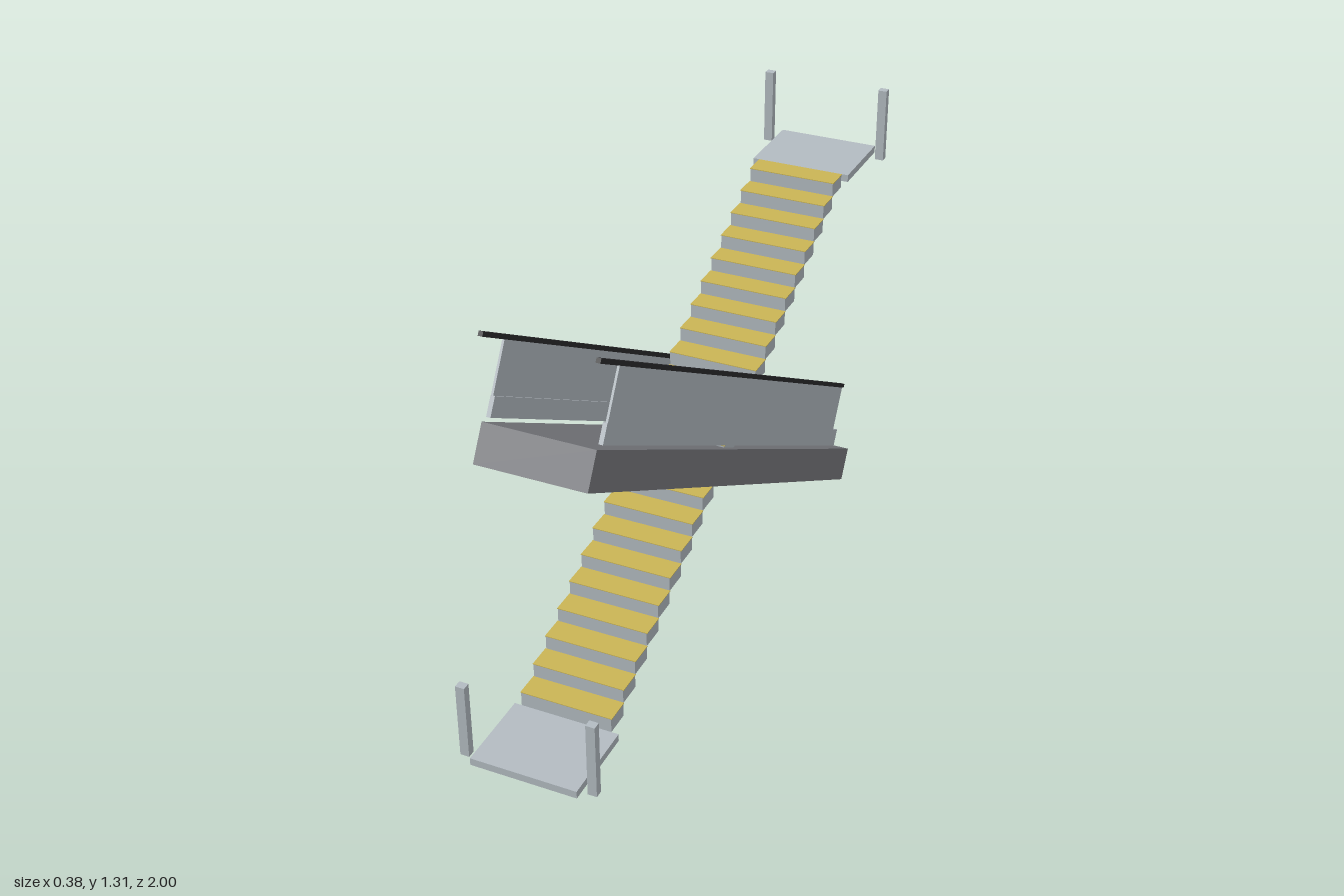
import * as THREE from 'three';

function material(name, color) {
  const m = new THREE.MeshStandardMaterial({ color });
  m.name = name;
  return m;
}

// Box given by its [min, max] range on each axis
function box(name, mat, [x0, x1], [y0, y1], [z0, z1]) {
  const mesh = new THREE.Mesh(new THREE.BoxGeometry(x1 - x0, y1 - y0, z1 - z0), mat);
  mesh.position.set((x0 + x1) / 2, (y0 + y1) / 2, (z0 + z1) / 2);
  mesh.name = name;
  return mesh;
}

const side = (s, a, b) => (s > 0 ? [a, b] : [-b, -a]);

export function createModel() {
  const metal = material('light metal', 0xb3bbc1);
  const trussGrey = material('truss grey', 0x78797e);
  const yellow = material('tread yellow', 0xcab555);
  const rubber = material('handrail black', 0x2a2a2c);

  const model = new THREE.Group();
  model.name = 'escalator';

  // Sloped truss with a balustrade on each side
  const incline = new THREE.Group();
  incline.name = 'incline';
  incline.position.y = 0.5433;
  incline.rotation.x = -Math.PI / 6;
  incline.add(box('truss', trussGrey, [-0.147, 0.147], [-0.05, 0.05], [-1, 1]));
  for (const s of [1, -1]) {
    incline.add(
      box('skirt', metal, side(s, 0.138, 0.1495), [0.061, 0.112], [-0.825, 0.977]),
      box('balustradePanel', metal, side(s, 0.1435, 0.1495), [0.112, 0.246], [-0.782, 0.975]),
      box('handrail', rubber, side(s, 0.141, 0.153), [0.244, 0.256], [-0.787, 1.092])
    );
  }
  model.add(incline);

  // Flight of steps, each with a thin yellow tread
  const steps = new THREE.Group();
  steps.name = 'steps';
  const count = 22, run = 0.07, rise = 0.04;
  for (let i = 0; i < count; i++) {
    const y = 0.205 + i * rise, z = 0.77 - i * run;
    steps.add(
      box('step', metal, [-0.127, 0.127], [y, y + rise], [z - run, z]),
      box('tread', yellow, [-0.129, 0.129], [y + rise, y + rise + 0.002], [z - run, z])
    );
  }
  model.add(steps);

  // Lower and upper landings with a pair of posts each
  for (const [name, end, y] of [['lowerLanding', 1, 0.184], ['upperLanding', -1, 1.066]]) {
    const landing = new THREE.Group();
    landing.name = name;
    landing.add(box('landingPlate', metal, [-0.147, 0.147], [y, y + 0.021], side(end, 0.77, 1)));
    for (const s of [1, -1]) {
      landing.add(box('post', metal, side(s, 0.164, 0.189), [y, y + 0.215], side(end, 0.954, 0.976)));
    }
    model.add(landing);
  }

  return model;
}
